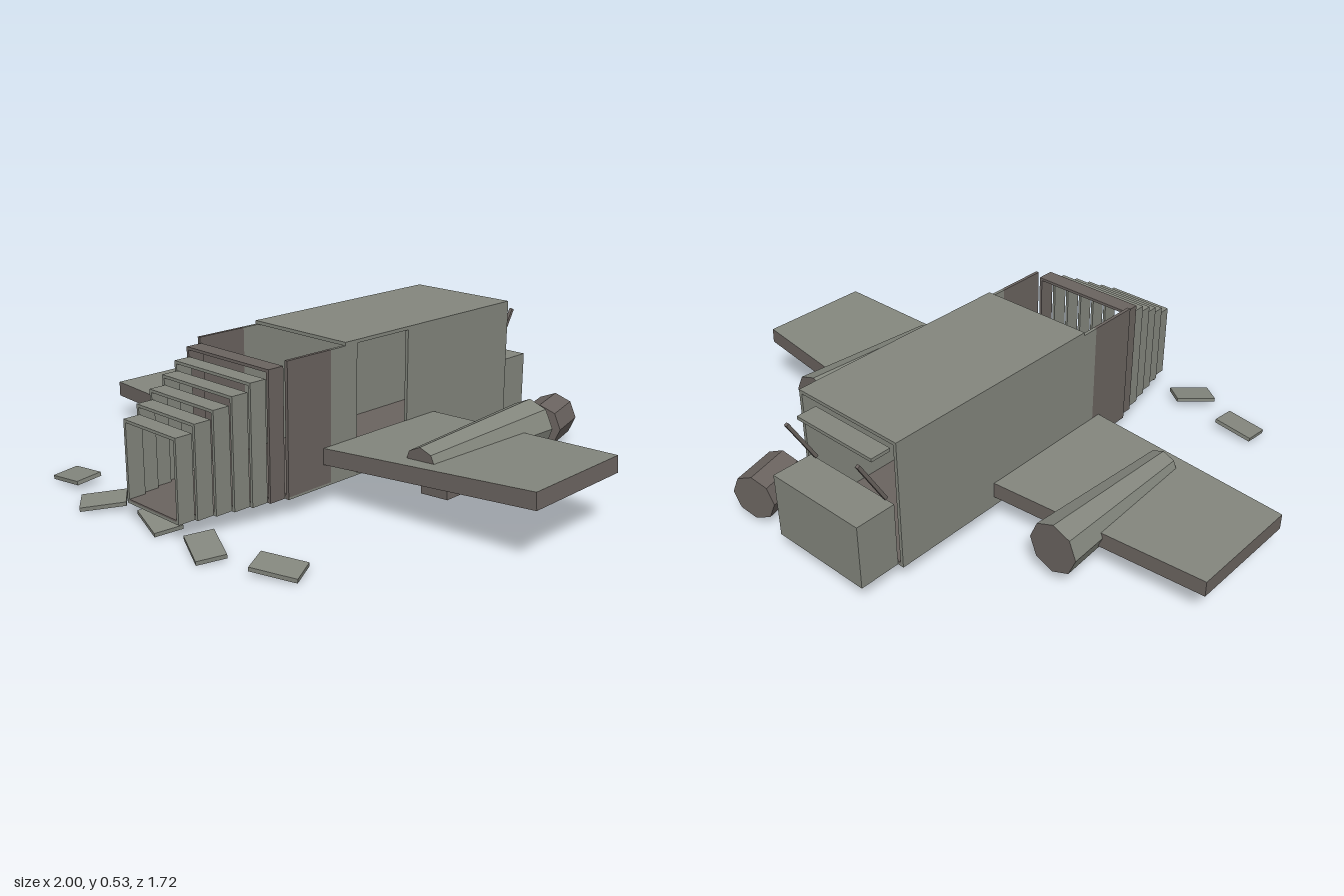
import * as THREE from 'three';

const hull = new THREE.MeshStandardMaterial({ color: 0x84877e });
hull.name = 'hullGrey';
const burnt = new THREE.MeshStandardMaterial({ color: 0x6b6460 });
burnt.name = 'burntBrown';

export function createModel() {
  const root = new THREE.Group();
  root.name = 'wreckedShuttle';

  const add = (parent, name, geometry, material) => {
    const mesh = new THREE.Mesh(geometry, material);
    mesh.name = name;
    parent.add(mesh);
    return mesh;
  };
  // Box given by its limits on each axis
  const box = (parent, name, material, x0, x1, y0, y1, z0, z1) => {
    const mesh = add(parent, name, new THREE.BoxGeometry(x1 - x0, y1 - y0, z1 - z0), material);
    mesh.position.set((x0 + x1) / 2, (y0 + y1) / 2, (z0 + z1) / 2);
    return mesh;
  };
  // Faceted cylinder lying along z, wider or narrower at the front
  const drum = (front, back, length) => {
    const g = new THREE.CylinderGeometry(front, back, length, 8).rotateX(Math.PI / 2).toNonIndexed();
    g.computeVertexNormals();
    return g;
  };

  // Hollow cabin: the roof stops short of the walls, the left wall has a doorway
  const T = 0.012, W = 0.216, Y0 = 0.066;
  const cabin = new THREE.Group();
  cabin.name = 'cabin';
  root.add(cabin);
  box(cabin, 'belly', hull, -W, W, Y0, Y0 + 0.008, -0.71, 0.41);
  box(cabin, 'floor', burnt, -W + T, W - T, Y0 + 0.008, Y0 + 0.014, -0.71, 0.41);
  box(cabin, 'roof', hull, -W, W, 0.522, 0.534, -0.71, 0.155);
  box(cabin, 'rightWall', hull, -W, -W + T, Y0, 0.522, -0.71, 0.22);
  box(cabin, 'leftWallRear', hull, W - T, W, Y0, 0.522, -0.71, -0.15);
  box(cabin, 'leftWallFront', hull, W - T, W, Y0, 0.522, 0.1, 0.22);
  for (const s of [-1, 1]) {
    const a = s * W, b = s * (W - T);
    box(cabin, 'burntWall', burnt, Math.min(a, b), Math.max(a, b), Y0, 0.522, 0.22, 0.41);
  }

  // Nose: six shrinking hollow frames
  const nose = new THREE.Group();
  nose.name = 'nose';
  root.add(nose);
  for (let i = 0; i < 6; i++) {
    const w = 0.198 - i * 0.0138, top = 0.503 - i * 0.032, t = 0.01;
    const z0 = 0.41 + i * 0.0617, z1 = z0 + 0.0617;
    const m = i === 0 ? burnt : hull;
    box(nose, 'frameTop', m, -w, w, top - t, top, z0, z1);
    box(nose, 'frameRight', m, -w, -w + t, Y0, top - t, z0, z1);
    box(nose, 'frameLeft', m, w - t, w, Y0, top - t, z0, z1);
    box(nose, 'frameBelly', m, -w, w, Y0, Y0 + 0.008, z0, z1);
    box(nose, 'noseFloor', burnt, -w + t, w - t, Y0 + 0.008, Y0 + 0.014, z0, z1);
  }

  // Rear ramp box, shelf and struts
  box(root, 'rearBox', hull, -0.192, 0.192, Y0, 0.3, -0.86, -0.71);
  box(root, 'rearShelf', hull, -0.167, 0.167, 0.472, 0.484, -0.765, -0.69);
  for (const s of [-1, 1]) {
    const strut = add(root, 'rearStrut', new THREE.BoxGeometry(0.012, 0.195, 0.012), burnt);
    strut.position.set(s * 0.16, 0.395, -0.763);
    strut.rotation.x = -0.52;
  }

  // Wings with engine pods; the left one is bent upward
  for (const [s, y, tilt] of [[-1, 0.13, 0], [1, 0.172, 0.066]]) {
    const wing = new THREE.Group();
    wing.name = s > 0 ? 'leftWing' : 'rightWing';
    wing.position.set(s * 0.215, y, 0);
    wing.rotation.z = tilt;
    root.add(wing);

    const outline = new THREE.Shape([[0, -0.255], [0.785, -0.192], [0.785, 0.232], [0, 0.295]]
      .map(([px, py]) => new THREE.Vector2(s * px, py)));
    const panel = new THREE.ExtrudeGeometry(outline, { depth: 0.056, bevelEnabled: false });
    panel.rotateX(-Math.PI / 2).translate(0, -0.028, 0);
    add(wing, 'wingPanel', panel, [hull, burnt]);

    const pod = add(wing, 'enginePod', drum(0.062, 0.091, 0.573), [hull, burnt, burnt]);
    pod.position.set(s * 0.34, 0.01, -0.115);
    box(wing, 'podFoot', burnt, s * 0.34 - 0.053, s * 0.34 + 0.053, -0.105, -0.03, -0.14, 0.11);
  }

  // Engine drum lying loose behind the left wing
  const loose = add(root, 'looseEngine', drum(0.083, 0.083, 0.172), burnt);
  loose.position.set(0.39, 0.102, -0.745);
  loose.rotation.y = 0.26;

  // Torn-off plates in front: x, z, yaw, roll
  for (const [x, z, yaw, roll] of [
    [-0.535, 0.703, 0, 0.12],
    [-0.283, 0.767, 0.9, 0.1],
    [-0.025, 0.735, -0.3, -0.15],
    [0.234, 0.766, -0.45, -0.13],
    [0.488, 0.704, 0.45, -0.1],
  ]) {
    const plate = add(root, 'debrisPlate', new THREE.BoxGeometry(0.15, 0.014, 0.095), hull);
    plate.position.set(x, 0.026, z);
    plate.rotation.set(0.1, yaw, roll, 'YXZ');
  }
  return root;
}
